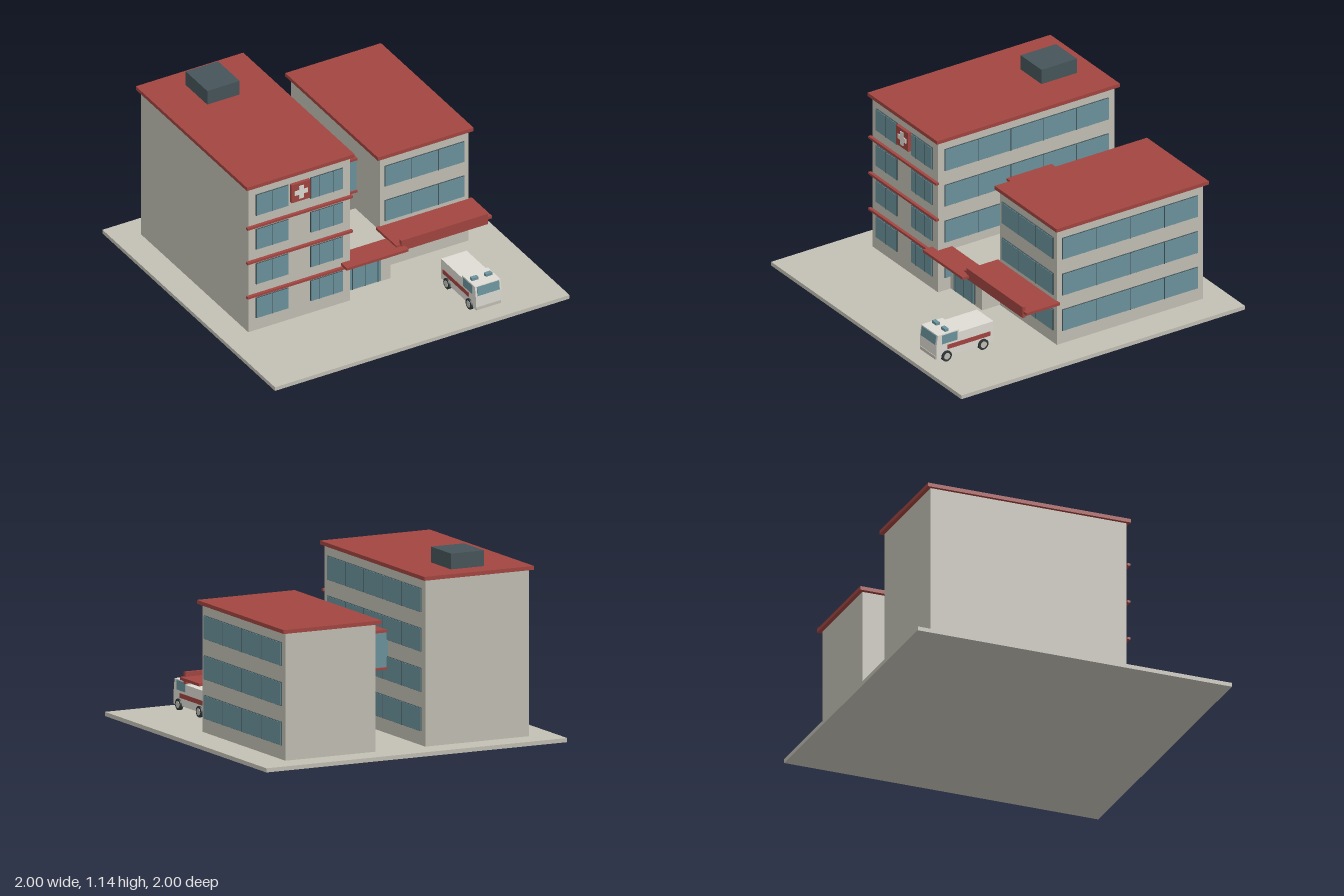
import * as THREE from 'three';

const mat = (name, color) => {
  const m = new THREE.MeshStandardMaterial({ color });
  m.name = name;
  return m;
};

export function createModel() {
  const wall = mat('concrete', 0xc3c0b5);
  const red = mat('red trim', 0xa34540);
  const glass = mat('blue glass', 0x6c949d);
  const dark = mat('dark slate', 0x46555a);
  const white = mat('white', 0xdedcd4);
  const tyre = mat('tyre', 0x30383b);

  const model = new THREE.Group();
  model.name = 'hospital';
  const group = (name) => {
    const g = new THREE.Group();
    g.name = name;
    model.add(g);
    return g;
  };
  // Box given by its limits on each axis
  const box = (parent, name, m, x0, x1, y0, y1, z0, z1) => {
    const mesh = new THREE.Mesh(new THREE.BoxGeometry(x1 - x0, y1 - y0, z1 - z0), m);
    mesh.position.set((x0 + x1) / 2, (y0 + y1) / 2, (z0 + z1) / 2);
    mesh.name = name;
    parent.add(mesh);
    return mesh;
  };
  // Framed window facing +z, centred on its own origin; splits are fractions of the width
  const windowUnit = (parent, w, h, splits, name = 'window') => {
    const g = new THREE.Group();
    g.name = name;
    const t = 0.004;
    box(g, 'windowFrame', dark, -w / 2, w / 2, -h / 2, h / 2, -0.005, 0.008);
    box(g, 'windowGlass', glass, -w / 2 + t / 2, w / 2 - t / 2, -h / 2 + t / 2, h / 2 - t / 2, 0.006, 0.011);
    for (const s of splits) {
      const x = (s - 0.5) * w;
      box(g, 'mullion', dark, x - t / 2, x + t / 2, -h / 2, h / 2, 0.006, 0.0125);
    }
    parent.add(g);
    return g;
  };
  const frontWindow = (parent, x0, x1, y0, y1, z, splits, name) =>
    windowUnit(parent, x1 - x0, y1 - y0, splits, name).position.set((x0 + x1) / 2, (y0 + y1) / 2, z);
  const sideWindow = (parent, z0, z1, y0, y1, x, splits) => {
    const g = windowUnit(parent, z1 - z0, y1 - y0, splits);
    g.rotation.y = Math.PI / 2;
    g.position.set(x, (y0 + y1) / 2, (z0 + z1) / 2);
  };
  const floors = [[0.11, 0.25], [0.345, 0.487], [0.585, 0.725], [0.82, 0.963]];
  const even = (n) => Array.from({ length: n - 1 }, (_, i) => (i + 1) / n);

  box(model, 'groundSlab', wall, -1, 1, 0, 0.025, -1, 1);

  // Tall wing
  const tall = group('tallWing');
  box(tall, 'tallWalls', wall, -0.83, -0.14, 0.025, 1.02, -0.845, 0.4);
  box(tall, 'tallRoof', red, -0.85, -0.12, 1.02, 1.043, -0.87, 0.42);
  box(tall, 'roofPlant', dark, -0.59, -0.37, 1.043, 1.137, -0.735, -0.485);
  for (const [y0, y1] of floors) {
    frontWindow(tall, -0.78, -0.56, y0, y1, 0.4, [0.5]);
    frontWindow(tall, -0.41, -0.19, y0, y1, 0.4, [0.25, 0.68]);
    sideWindow(tall, -0.8, 0.355, y0, y1, -0.14, even(5));
  }
  for (const y of [0.273, 0.511, 0.75]) {
    box(tall, 'floorBand', red, -0.845, -0.13, y - 0.007, y + 0.007, 0.4, 0.42);
  }
  box(tall, 'signPlate', red, -0.548, -0.42, 0.84, 0.963, 0.4, 0.422);
  box(tall, 'crossUpright', white, -0.499, -0.469, 0.858, 0.945, 0.42, 0.427);
  box(tall, 'crossBar', white, -0.528, -0.44, 0.887, 0.916, 0.42, 0.4268);

  // Low wing with its front canopy
  const low = group('lowWing');
  box(low, 'lowWalls', wall, 0.19, 0.79, 0.025, 0.787, -0.845, 0.185);
  box(low, 'lowRoof', red, 0.165, 0.815, 0.787, 0.81, -0.87, 0.205);
  for (const [y0, y1] of floors.slice(0, 3)) {
    frontWindow(low, 0.22, 0.76, y0, y1, 0.185, even(3));
    sideWindow(low, -0.805, 0.15, y0, y1, 0.79, even(4));
  }
  box(low, 'lowCanopy', red, 0.165, 0.815, 0.298, 0.315, 0.18, 0.417);
  box(low, 'canopyFascia', red, 0.195, 0.785, 0.272, 0.343, 0.405, 0.424);

  // Entrance lobby
  const lobby = group('entrance');
  box(lobby, 'lobbyWalls', wall, -0.14, 0.19, 0.025, 0.285, -0.1, 0.31);
  box(lobby, 'lobbyCanopy', red, -0.2, 0.22, 0.286, 0.303, 0.3, 0.467);
  box(lobby, 'entranceSign', red, -0.13, 0.195, 0.23, 0.287, 0.305, 0.335);
  frontWindow(lobby, -0.098, 0.118, 0.035, 0.23, 0.31, [0.1, 0.5, 0.9], 'entranceDoors');

  // Glazed bridge between the wings
  const bridge = group('bridge');
  box(bridge, 'bridgeGlass', glass, -0.14, 0.19, 0.422, 0.633, -0.385, -0.085);
  box(bridge, 'bridgeRoof', red, -0.14, 0.19, 0.632, 0.647, -0.395, -0.075);
  box(bridge, 'bridgeFloor', red, -0.14, 0.19, 0.41, 0.423, -0.395, -0.075);
  for (const x of [-0.005, 0.125]) {
    box(bridge, 'bridgeMullion', wall, x - 0.004, x + 0.004, 0.422, 0.633, -0.389, -0.081);
  }

  // Ambulance: side profile in (z, y), extruded across x
  const van = group('ambulance');
  const profile = new THREE.Shape([
    [0.5, 0.055], [0.903, 0.055], [0.903, 0.142], [0.893, 0.208],
    [0.745, 0.208], [0.745, 0.19], [0.5, 0.19],
  ].map(([z, y]) => new THREE.Vector2(z, y)));
  const bodyGeo = new THREE.ExtrudeGeometry(profile, { depth: 0.174, bevelEnabled: false });
  bodyGeo.rotateY(-Math.PI / 2).translate(0.594, 0, 0);
  const body = new THREE.Mesh(bodyGeo, white);
  body.name = 'vanBody';
  van.add(body);
  const screen = box(van, 'windscreen', glass, 0.432, 0.582, 0.146, 0.204, 0.895, 0.902);
  screen.rotation.x = -0.15;
  box(van, 'bumper', wall, 0.425, 0.589, 0.052, 0.072, 0.9, 0.907);
  for (const s of [-1, 1]) {
    const x = 0.507 + s * 0.087;
    box(van, 'cabWindow', glass, x - 0.003, x + 0.003, 0.145, 0.202, 0.758, 0.865);
    box(van, 'sideStripe', red, x - 0.003, x + 0.003, 0.102, 0.13, 0.525, 0.825);
    const lx = 0.507 + s * 0.047;
    box(van, 'roofBeacon', glass, lx - 0.022, lx + 0.022, 0.208, 0.225, 0.805, 0.83);
    for (const z of [0.577, 0.835]) {
      const wheelParts = [['tyre', tyre, 0.034, 0.02, 0], ['hub', wall, 0.021, 0.004, 0.0105]];
      for (const [name, m, r, w, out] of wheelParts) {
        const wheel = new THREE.Mesh(new THREE.CylinderGeometry(r, r, w, 20), m);
        wheel.rotation.z = Math.PI / 2;
        wheel.position.set(x + s * out, 0.061, z);
        wheel.name = name;
        van.add(wheel);
      }
    }
  }
  return model;
}
